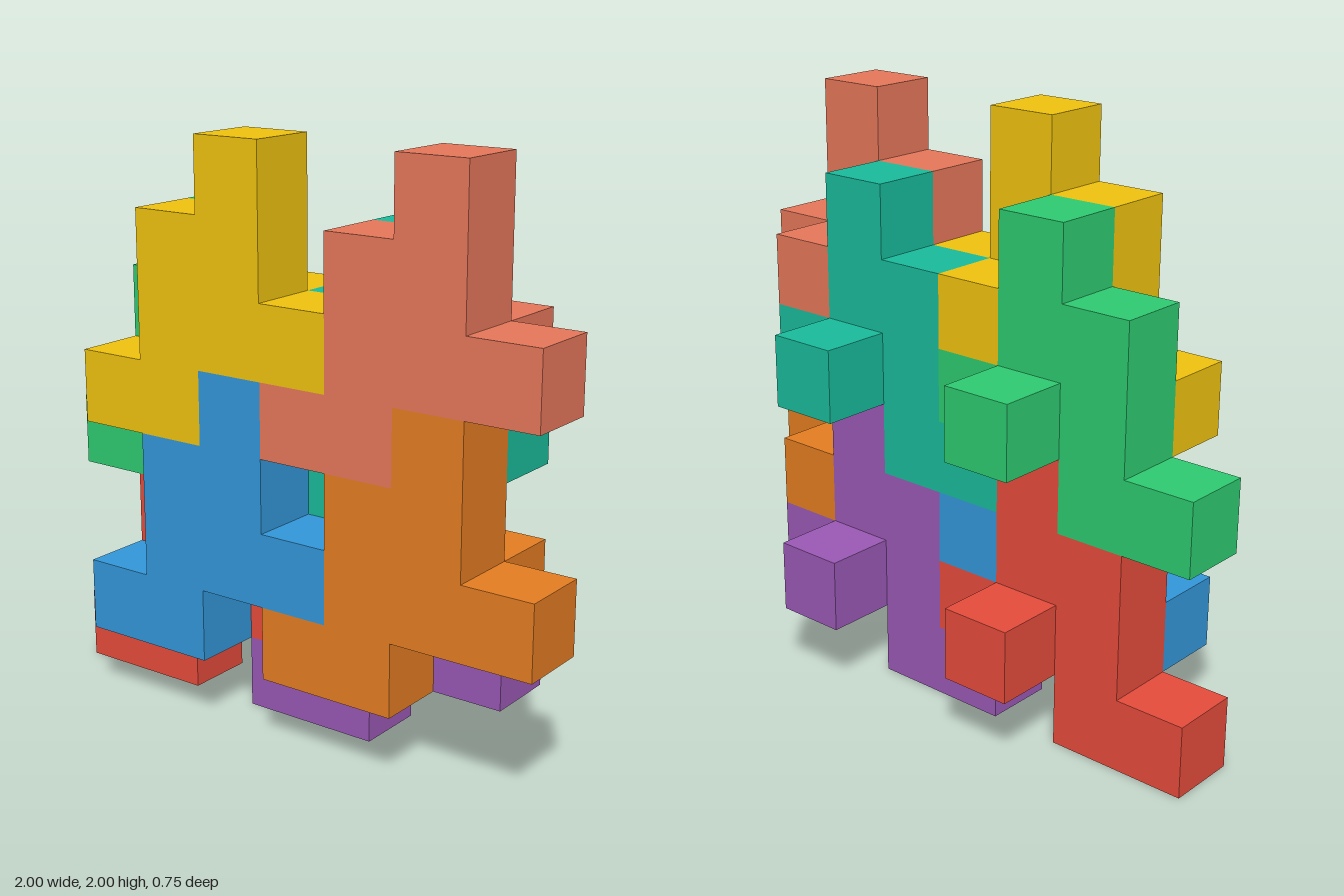
import * as THREE from 'three';

const U = 0.25; // edge of one unit cube

// Stepped outline shared by every piece; its peg cell spans (0,0)-(1,1)
const OUTLINE = [
  [-2, -1], [0, -1], [0, 0], [2, 0], [2, 1], [1, 1],
  [1, 3], [0, 3], [0, 2], [-1, 2], [-1, 0], [-2, 0],
];

// Name, colour, column and row of the peg cell, z of the plate's back face
const PIECES = [
  ['frontUpperRightPiece', 0xf1c40f, 3, 5, 0.125],
  ['frontUpperLeftPiece', 0xe8785b, 6, 5, 0.125],
  ['frontLowerRightPiece', 0x3498db, 3, 2, 0.125],
  ['frontLowerLeftPiece', 0xe67e22, 6, 2, 0.125],
  ['backUpperRightPiece', 0x2ecc71, 2, 4, -0.125],
  ['backUpperLeftPiece', 0x1abc9c, 5, 4, -0.125],
  ['backLowerRightPiece', 0xe74c3c, 2, 1, -0.125],
  ['backLowerLeftPiece', 0x9b59b6, 5, 1, -0.125],
];

export function createModel() {
  const model = new THREE.Group();
  model.name = 'interlockingPuzzle';

  const outline = new THREE.Shape(OUTLINE.map(([x, y]) => new THREE.Vector2(x * U, y * U)));
  const plateGeometry = new THREE.ExtrudeGeometry(outline, { depth: U, bevelEnabled: false });
  // Peg stands out behind the plate
  const pegGeometry = new THREE.BoxGeometry(U, U, U).translate(U / 2, U / 2, -U / 2);

  for (const [name, color, column, row, z] of PIECES) {
    const material = new THREE.MeshStandardMaterial({ color });
    const piece = new THREE.Group();
    piece.name = name;

    const plate = new THREE.Mesh(plateGeometry, material);
    plate.name = 'plate';
    const peg = new THREE.Mesh(pegGeometry, material);
    peg.name = 'peg';

    piece.add(plate, peg);
    piece.position.set(column * U - 1, row * U, z);
    model.add(piece);
  }
  return model;
}
